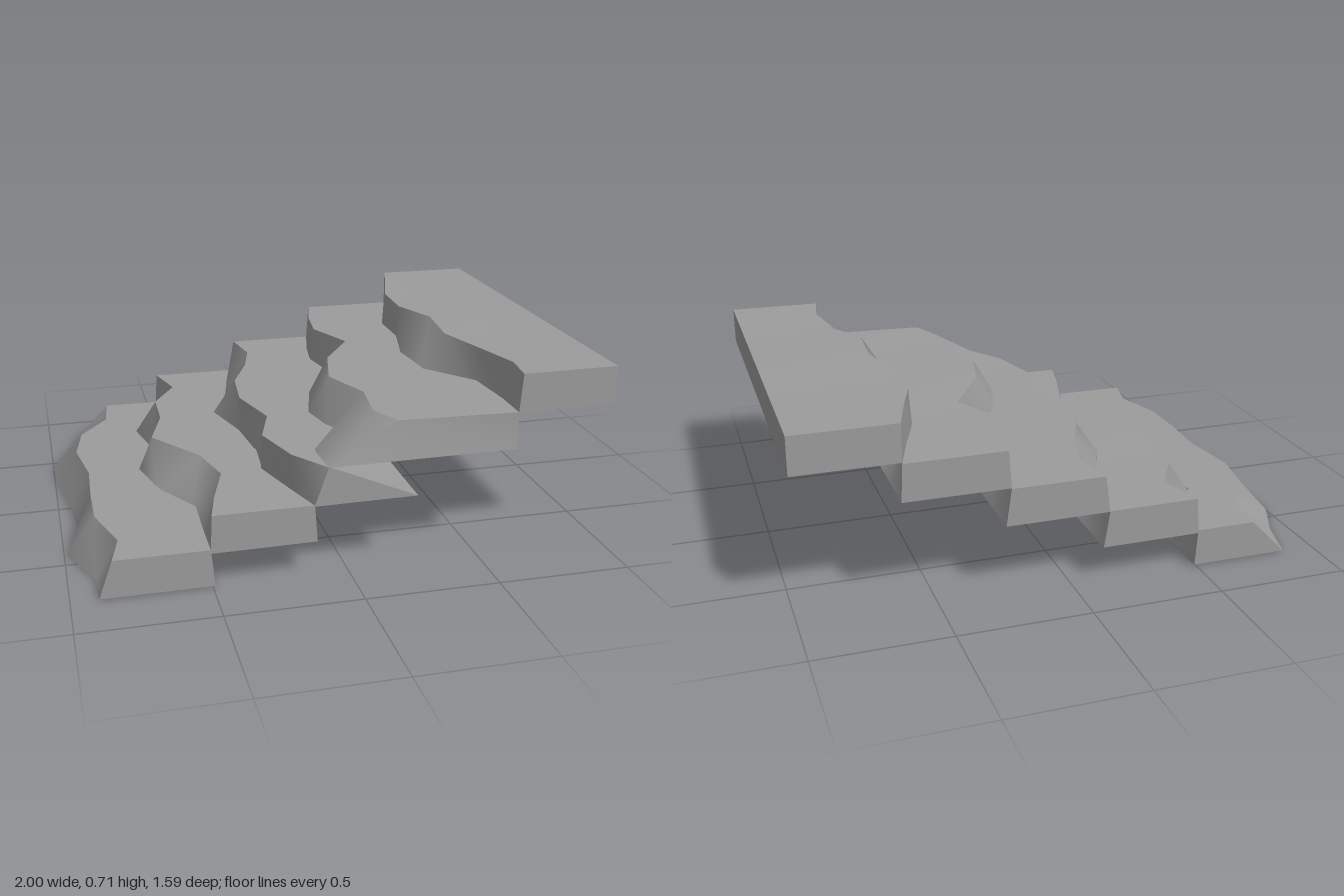
import * as THREE from 'three';

// Shared stations along the width, and how the undersides sag there
const Z = [-0.795, -0.61, -0.44, -0.24, 0, 0.23, 0.42, 0.64, 0.795];
const SAG = [0, 0.14, 0.55, 0.95, 0.05, 0.4, 1, 0.45, 0.1];
const THICKNESS = 0.142;

// Per ledge: underside height, sag depth, and the wavy front edge as x at
// its foot (where it meets the ledge below) and at its lip
const LEDGES = [
  { name: 'bottomLedge', y: 0.006, sag: 0.006,
    foot: [-0.87, -0.92, -1, -0.985, -0.95, -0.935, -0.985, -0.9, -0.9],
    lip: [-0.73, -0.75, -0.87, -0.905, -0.87, -0.88, -0.88, -0.815, -0.85] },
  { name: 'secondLedge', y: 0.137, sag: 0.033,
    foot: [-0.5, -0.485, -0.635, -0.595, -0.67, -0.61, -0.5, -0.505, -0.505],
    lip: [-0.49, -0.44, -0.54, -0.545, -0.61, -0.45, -0.4, -0.465, -0.5] },
  { name: 'middleLedge', y: 0.277, sag: 0.03,
    foot: [-0.14, -0.19, -0.23, -0.315, -0.25, -0.225, -0.245, -0.18, -0.13],
    lip: [-0.12, -0.09, -0.135, -0.22, -0.245, -0.18, -0.24, -0.18, -0.08] },
  { name: 'fourthLedge', y: 0.422, sag: 0.05, lipCut: 0.025,
    foot: [0.235, 0.19, 0.165, 0.215, 0.05, -0.01, 0.04, -0.085, -0.075],
    lip: [0.245, 0.2, 0.18, 0.27, 0.125, 0.07, 0.155, 0.125, 0.18] },
  { name: 'topLedge', y: 0.568, sag: 0.083,
    foot: [0.62, 0.56, 0.5, 0.5, 0.445, 0.46, 0.61, 0.635, 0.625],
    lip: [0.62, 0.565, 0.51, 0.51, 0.565, 0.545, 0.62, 0.66, 0.635] },
];

// Four corners of a ledge at each station: foot, back bottom, back top, lip.
// The back leans in to the foot of the ledge above.
function ledgeSections({ y, sag, foot, lip, lipCut = 0 }, back, above) {
  const top = y + THICKNESS;
  return Z.map((z, i) => {
    const drop = sag * SAG[i];
    // Carry the front slope down to the sagging underside
    const slope = 1 + drop / THICKNESS;
    const footX = Math.max(-1, lip[i] + (foot[i] - lip[i]) * slope);
    const backTop = above ? Math.min(back, above.foot[i]) : back;
    const lipZ = i === Z.length - 1 ? z - lipCut : z;
    return [
      [footX, y - drop, z],
      [back, y, z],
      [backTop, top, z],
      [lip[i], top - drop * 0.2, lipZ],
    ];
  });
}

// Each side is its own smooth strip, so the long edges stay sharp
function loftGeometry(sections) {
  const pos = [], idx = [];
  for (let c = 0; c < 4; c++) {
    const start = pos.length / 3;
    sections.forEach((s, i) => {
      pos.push(...s[c], ...s[(c + 1) % 4]);
      if (i === 0) return;
      const a = start + (i - 1) * 2;
      idx.push(a, a + 1, a + 3, a, a + 3, a + 2);
    });
  }
  // End faces
  const cap = pos.length / 3;
  pos.push(...sections[0].flat(), ...sections[sections.length - 1].flat());
  idx.push(cap, cap + 3, cap + 1, cap + 1, cap + 3, cap + 2);
  idx.push(cap + 4, cap + 5, cap + 7, cap + 5, cap + 6, cap + 7);
  const geometry = new THREE.BufferGeometry();
  geometry.setAttribute('position', new THREE.Float32BufferAttribute(pos, 3));
  geometry.setIndex(idx);
  geometry.computeVertexNormals();
  return geometry;
}

export function createModel() {
  const group = new THREE.Group();
  group.name = 'rockStairs';
  const stone = new THREE.MeshStandardMaterial({ color: 0x9c9c9c });
  // Straight back edges step evenly towards +x
  LEDGES.forEach((ledge, i) => {
    const sections = ledgeSections(ledge, -0.492 + 0.373 * i, LEDGES[i + 1]);
    const mesh = new THREE.Mesh(loftGeometry(sections), stone);
    mesh.name = ledge.name;
    group.add(mesh);
  });
  return group;
}
